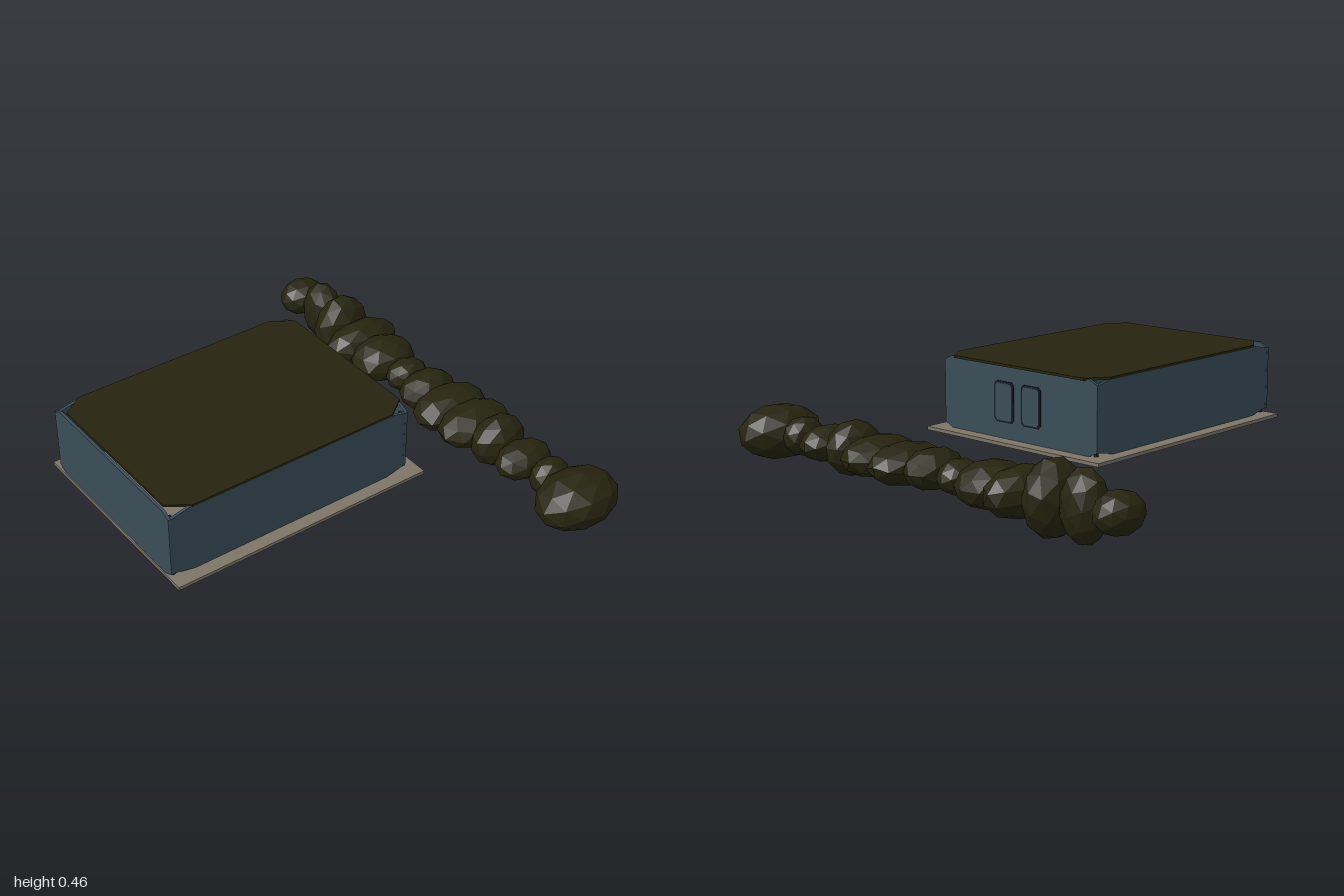
import * as THREE from 'three';

const material = (name, color) => {
  const m = new THREE.MeshStandardMaterial({ color, flatShading: true });
  m.name = name;
  return m;
};

// Thin plate with cut corners, centred on its own origin
function cutPlate(w, h, cutX, cutY, depth) {
  const x = w / 2, y = h / 2;
  const shape = new THREE.Shape([
    [-x + cutX, -y], [x - cutX, -y], [x, -y + cutY], [x, y - cutY],
    [x - cutX, y], [-x + cutX, y], [-x, y - cutY], [-x, -y + cutY],
  ].map(([a, b]) => new THREE.Vector2(a, b)));
  return new THREE.ExtrudeGeometry(shape, { depth, bevelEnabled: false }).translate(0, 0, -depth / 2);
}

export function createModel() {
  const model = new THREE.Group();
  const olive = material('dark olive', 0x26240f);
  const blue = material('slate blue', 0x3a4d58);
  const stone = material('warm grey', 0x7e7568);
  const dark = material('dark trim', 0x18222a);

  const add = (name, geometry, mat, x, y, z, parent = model) => {
    const mesh = new THREE.Mesh(geometry, mat);
    mesh.name = name;
    mesh.position.set(x, y, z);
    parent.add(mesh);
    return mesh;
  };

  // Base slab
  add('baseSlab', new THREE.BoxGeometry(0.9, 0.014, 1.13), stone, -0.04, 0.172, 0.278);

  // Hollow building made from thin panels
  const building = new THREE.Group();
  building.name = 'building';
  model.add(building);
  const midY = 0.325, midX = -0.041;
  add('frontWall', cutPlate(0.795, 0.29, 0.04, 0.018, 0.012), blue, midX, midY, 0.833, building);
  add('backWall', cutPlate(0.795, 0.29, 0.04, 0.018, 0.012), blue, midX, midY, -0.229, building);
  for (const side of [-1, 1]) {
    const wall = add('sideWall', cutPlate(1.06, 0.29, 0.09, 0.02, 0.012), blue,
      midX + side * 0.391, midY, 0.298, building);
    wall.rotation.y = Math.PI / 2;
    // Slim dark posts behind the corner gaps
    for (const z of [-0.215, 0.819]) {
      add('cornerPost', new THREE.BoxGeometry(0.012, 0.27, 0.012), dark,
        midX + side * 0.377, 0.315, z, building);
    }
  }

  // Roof plate with cut corners
  const roof = add('roof', cutPlate(0.795, 1.065, 0.06, 0.085, 0.01), olive, midX, 0.469, 0.288, building);
  roof.rotation.x = -Math.PI / 2;

  // Pair of framed windows on the back wall
  for (const x of [0.03, -0.11]) {
    add('windowFrame', cutPlate(0.1, 0.16, 0.012, 0.012, 0.006), dark, x, 0.325, -0.237, building);
    add('windowPanel', cutPlate(0.086, 0.146, 0.01, 0.01, 0.006), blue, x, 0.325, -0.239, building);
  }

  // Hedge: x, y, z, then the three radii of each faceted clump
  const clumps = [
    [-0.915, 0.16, -0.675, 0.085, 0.08, 0.105],
    [-0.77, 0.155, -0.68, 0.095, 0.14, 0.08],
    [-0.62, 0.155, -0.67, 0.095, 0.148, 0.13],
    [-0.475, 0.152, -0.67, 0.1, 0.095, 0.18],
    [-0.325, 0.15, -0.67, 0.12, 0.09, 0.148],
    [-0.17, 0.15, -0.675, 0.075, 0.068, 0.096],
    [-0.03, 0.155, -0.67, 0.095, 0.08, 0.128],
    [0.115, 0.15, -0.67, 0.115, 0.08, 0.172],
    [0.265, 0.155, -0.67, 0.115, 0.08, 0.168],
    [0.41, 0.16, -0.67, 0.09, 0.11, 0.124],
    [0.56, 0.155, -0.67, 0.09, 0.072, 0.128],
    [0.705, 0.16, -0.675, 0.07, 0.08, 0.088],
    [0.86, 0.155, -0.67, 0.138, 0.112, 0.182],
  ];
  const hedge = new THREE.Group();
  hedge.name = 'hedge';
  model.add(hedge);
  clumps.forEach(([x, y, z, rx, ry, rz], i) => {
    const ball = new THREE.IcosahedronGeometry(1, 1).rotateX(i * 1.3).rotateY(i * 2.1);
    add('hedgeClump', ball.scale(rx, ry, rz), olive, x, y, z, hedge);
  });

  return model;
}
